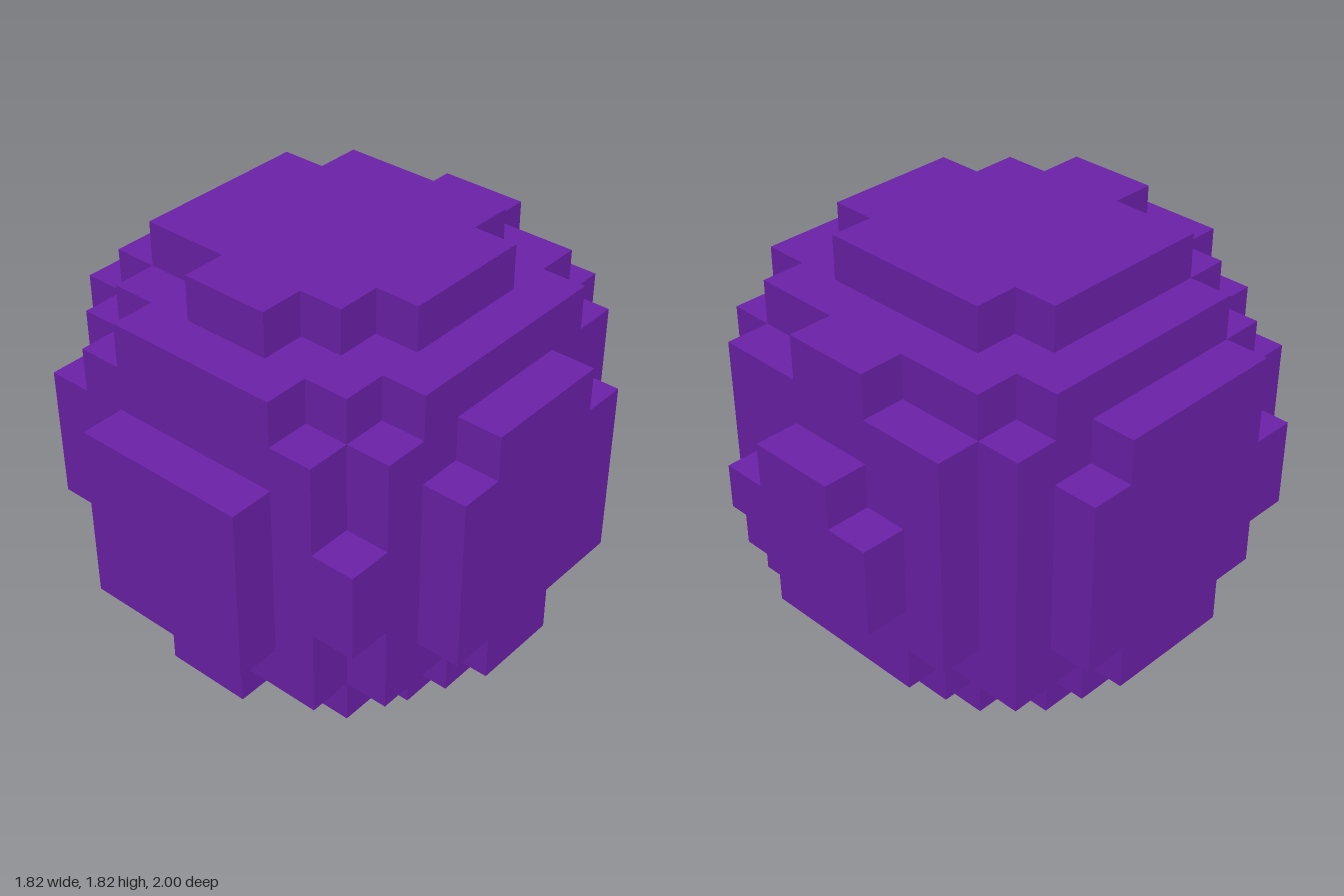
import * as THREE from 'three';

const U = 2 / 11; // block size

export function createModel() {
  const model = new THREE.Group();
  model.name = 'blockBall';
  const purple = new THREE.MeshStandardMaterial({ color: 0x6b21a8 });
  purple.name = 'purple';

  // Slab measured in blocks: width across x, y from bottom, z from back;
  // shift moves it off centre toward +x
  function slab(name, width, y0, y1, z0, z1, shift = 0) {
    const geometry = new THREE.BoxGeometry(width * U, (y1 - y0) * U, (z1 - z0) * U);
    const mesh = new THREE.Mesh(geometry, purple);
    mesh.name = name;
    mesh.position.set(shift * U, ((y0 + y1) / 2) * U, ((z0 + z1) / 2 - 5.5) * U);
    model.add(mesh);
  }

  // Main body
  slab('coreTall', 8, 2, 9, 3, 8);
  slab('coreFront', 8, 2, 8, 3, 9);
  slab('coreDeep', 8, 3, 8, 2, 9);
  slab('coreShoulder', 6, 3, 9, 2, 9);
  slab('coreBackFoot', 7, 2, 3, 2, 3, -0.5);

  // Front steps and face plate
  slab('frontStep', 6, 2, 8, 9, 10);
  slab('frontStepTop', 4, 8, 9, 9, 10);
  slab('frontStepWide', 8, 4, 6, 9, 10);
  slab('frontStepCorner', 7, 6, 7, 9, 10, -0.5);
  slab('frontPlate', 4, 3, 7, 10, 11);

  // Back steps and small stepped bump
  slab('backStep', 6, 3, 8, 1, 2);
  slab('backStepTop', 2, 8, 9, 1, 2);
  slab('backStepFoot', 4, 2, 3, 1, 2);
  slab('backBump', 2, 4, 7, 0, 1);
  slab('backBumpMiddle', 4, 5, 6, 0, 1);
  slab('backBumpFoot', 3, 4, 5, 0, 1, -0.5);

  // Side plates, running through the body to both sides
  slab('sidePlates', 10, 3, 7, 3, 8);
  slab('sidePlatesTop', 10, 7, 8, 4, 7);
  slab('sidePlatesFoot', 10, 2, 3, 5, 7);
  slab('rightPlateFoot', 9, 2, 3, 4, 7, -0.5);
  slab('rightPlateCorner', 9, 7, 8, 7, 8, -0.5);
  slab('rightPlateFront', 9, 4, 6, 8, 9, -0.5);

  // Top cap
  slab('topCap', 6, 9, 10, 4, 7);
  slab('topCapBack', 4, 9, 10, 3, 4);
  slab('topCapFront', 5, 9, 10, 7, 8, -0.5);
  slab('topCapTip', 2, 9, 10, 8, 9);

  // Underside step
  slab('lowerStep', 6, 1, 2, 3, 9);
  slab('lowerStepWide', 8, 1, 2, 4, 7);
  slab('lowerStepBack', 4, 1, 2, 2, 3);
  slab('lowerStepFront', 2, 1, 2, 9, 10);

  // Base
  slab('base', 6, 0, 1, 5, 7);
  slab('baseLong', 5, 0, 1, 4, 8, -0.5);
  slab('baseBack', 4, 0, 1, 3, 4);
  return model;
}
